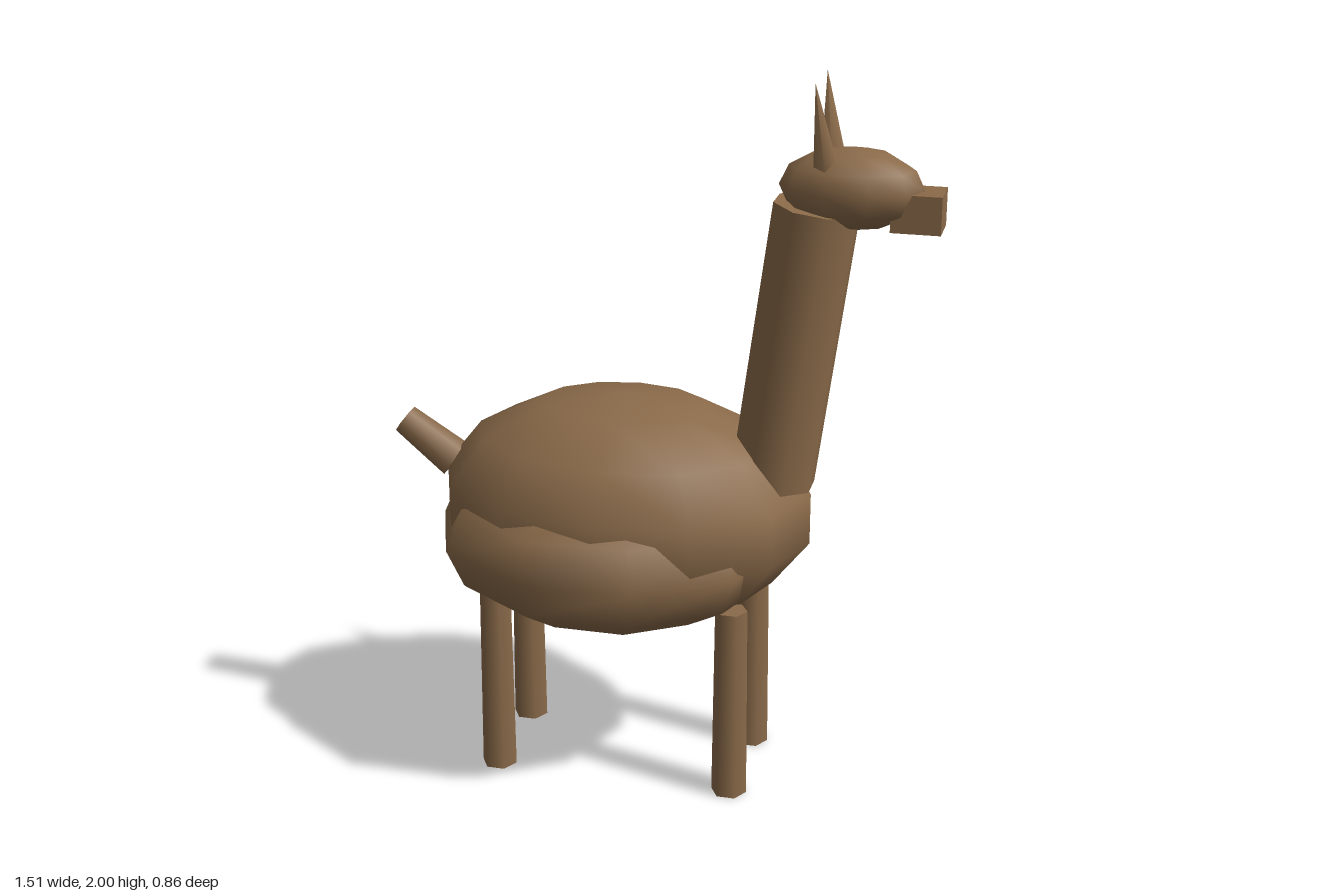
import * as THREE from 'three';

export function createModel() {
  const model = new THREE.Group();
  const wool = new THREE.MeshStandardMaterial({ color: 0x8b6b4a });
  wool.name = 'brown wool';

  const add = (name, geometry, x, y, z) => {
    const mesh = new THREE.Mesh(geometry, wool);
    mesh.name = name;
    mesh.position.set(x, y, z);
    model.add(mesh);
    return mesh;
  };

  // Tapered limb running between two points
  const limb = (name, from, to, r0, r1, sides, turn = 0) => {
    const a = new THREE.Vector3(...from), b = new THREE.Vector3(...to);
    const axis = b.clone().sub(a);
    const geometry = new THREE.CylinderGeometry(r1, r0, axis.length(), sides).rotateY(turn);
    const mid = a.clone().add(b).multiplyScalar(0.5);
    const mesh = add(name, geometry, mid.x, mid.y, mid.z);
    mesh.quaternion.setFromUnitVectors(new THREE.Vector3(0, 1, 0), axis.normalize());
    return mesh;
  };

  // Body and the fleece ring bulging around its lower half
  add('body', new THREE.SphereGeometry(1, 12, 7).scale(0.533, 0.325, 0.385), -0.09, 0.785, 0);
  add('fleece', new THREE.TorusGeometry(0.115, 0.335, 12, 10)
    .rotateX(Math.PI / 2).scale(1.11, 0.66, 1), -0.125, 0.7, 0);

  // Neck, head and snout
  limb('neck', [0.323, 0.895, 0], [0.425, 1.665, 0], 0.117, 0.117, 8, Math.PI / 8);
  add('head', new THREE.SphereGeometry(1, 10, 6).scale(0.19, 0.108, 0.12), 0.513, 1.717, 0);
  add('snout', new THREE.BoxGeometry(0.13, 0.1, 0.112), 0.687, 1.67, 0);

  // Legs and ears, mirrored across z
  for (const side of [1, -1]) {
    const name = side > 0 ? 'Near' : 'Far';
    limb('backLeg' + name, [-0.43, 0, side * 0.152], [-0.43, 0.56, side * 0.15], 0.05, 0.045, 6, Math.PI / 6);
    limb('frontLeg' + name, [0.245, 0, side * 0.152], [0.245, 0.56, side * 0.15], 0.05, 0.045, 6, Math.PI / 6);
    limb('ear' + name, [0.457, 1.77, side * 0.055], [0.427, 2, side * 0.09], 0.036, 0, 5);
  }

  // Tail
  limb('tail', [-0.585, 0.865, 0], [-0.733, 0.973, 0], 0.055, 0.042, 6);

  return model;
}
